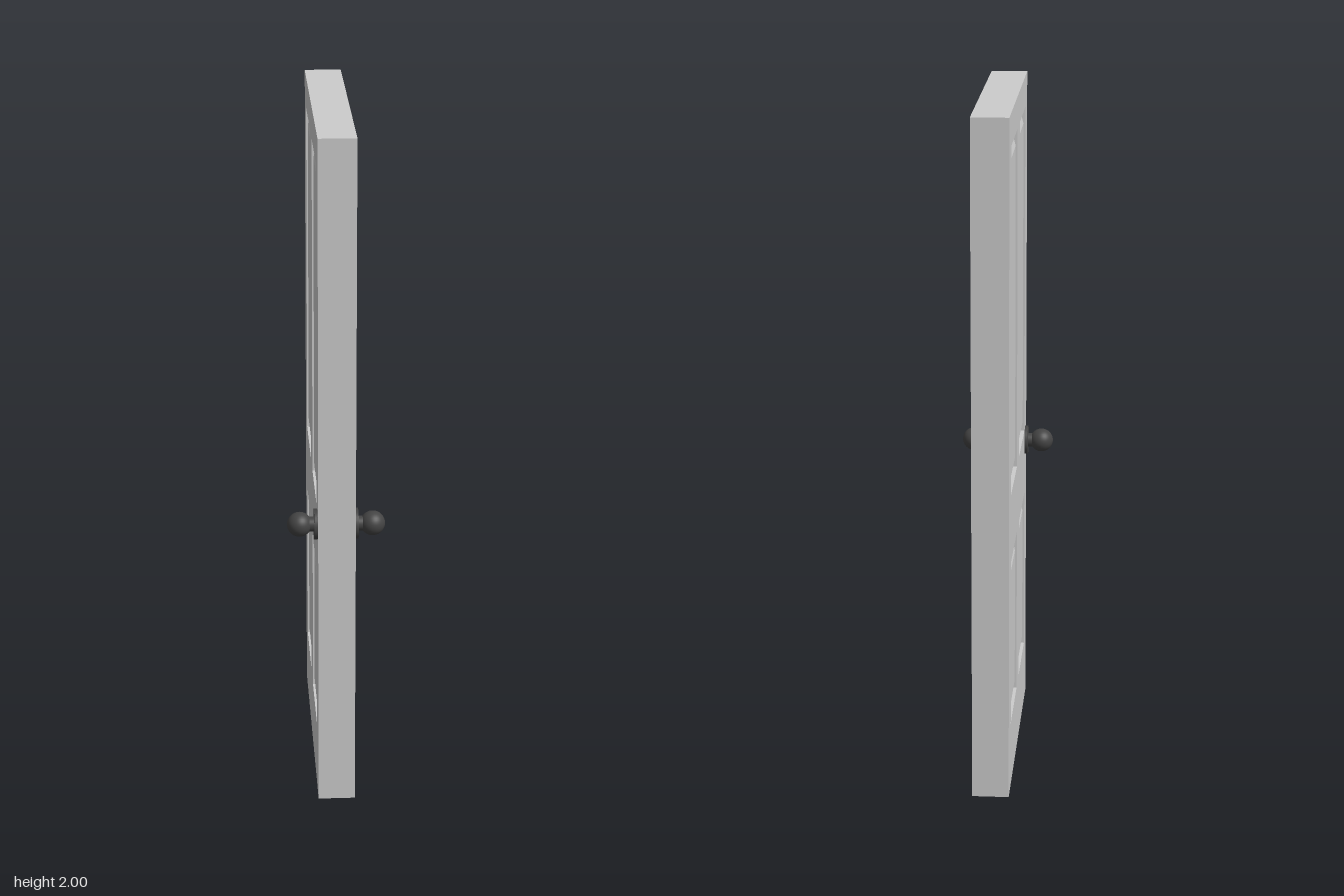
import * as THREE from 'three';

const HALF_T = 0.0535; // half the door's thickness
const HALF_W = 0.407;  // half the door's width
const RECESS = 0.012;  // depth of the panel grooves

const grey = new THREE.MeshStandardMaterial({ color: 0xcccccc });
const dark = new THREE.MeshStandardMaterial({ color: 0x444444 });

function rectPoints(x0, x1, y0, y1) {
  return [[x0, y0], [x1, y0], [x1, y1], [x0, y1]].map(([x, y]) => new THREE.Vector2(x, y));
}

function addMesh(parent, name, geometry, material) {
  const mesh = new THREE.Mesh(geometry, material);
  mesh.name = name;
  parent.add(mesh);
  return mesh;
}

// Extrudes a shape symmetrically through the door (local z becomes x)
function extrudeThrough(shape, depth, options = {}) {
  const g = new THREE.ExtrudeGeometry(shape, { depth, bevelEnabled: false, ...options });
  return g.translate(0, 0, -depth / 2).rotateY(Math.PI / 2);
}

// Knob, neck and backplate, pointing along +x from the door face
function createKnob() {
  const knob = new THREE.Group();
  const plate = new THREE.CylinderGeometry(0.044, 0.044, 0.0095, 32).rotateZ(-Math.PI / 2);
  addMesh(knob, 'backplate', plate, dark).position.x = HALF_T + 0.00475;
  const neck = new THREE.CylinderGeometry(0.021, 0.021, 0.03, 32).rotateZ(-Math.PI / 2);
  addMesh(knob, 'neck', neck, dark).position.x = HALF_T + 0.015;
  const ball = new THREE.SphereGeometry(0.0355, 32, 24).rotateZ(-Math.PI / 2);
  addMesh(knob, 'ball', ball, dark).position.x = 0.1045;
  return knob;
}

export function createModel() {
  const door = new THREE.Group();
  door.name = 'door';

  // Openings: two tall panels above two short ones
  const openings = [];
  for (const [y0, y1] of [[0.9, 1.908], [0.195, 0.696]]) {
    for (const [x0, x1] of [[-0.318, -0.048], [0.048, 0.318]]) openings.push([x0, x1, y0, y1]);
  }

  // Frame of stiles and rails
  const outline = new THREE.Shape(rectPoints(-HALF_W, HALF_W, 0, 2));
  for (const o of openings) outline.holes.push(new THREE.Path(rectPoints(...o).reverse()));
  addMesh(door, 'frame', extrudeThrough(outline, HALF_T * 2), grey);

  // Sunken panels with raised, bevelled fields on both faces
  const floorDepth = 2 * (HALF_T - RECESS);
  const gap = 0.017;
  for (const [x0, x1, y0, y1] of openings) {
    const panel = new THREE.Group();
    panel.name = 'panel';
    addMesh(panel, 'panelGroove', extrudeThrough(new THREE.Shape(rectPoints(x0, x1, y0, y1)), floorDepth), grey);
    const field = new THREE.Shape(rectPoints(x0 + gap, x1 - gap, y0 + gap, y1 - gap));
    addMesh(panel, 'raisedField', extrudeThrough(field, floorDepth, {
      bevelEnabled: true, bevelSegments: 1, bevelThickness: 0.009, bevelSize: 0.026, bevelOffset: -0.026,
    }), grey);
    door.add(panel);
  }

  // A knob on each face
  for (const [name, turn] of [['leftKnob', 0], ['rightKnob', Math.PI]]) {
    const knob = createKnob();
    knob.name = name;
    knob.rotation.y = turn;
    knob.position.set(0, 0.86, 0.353);
    door.add(knob);
  }
  return door;
}
